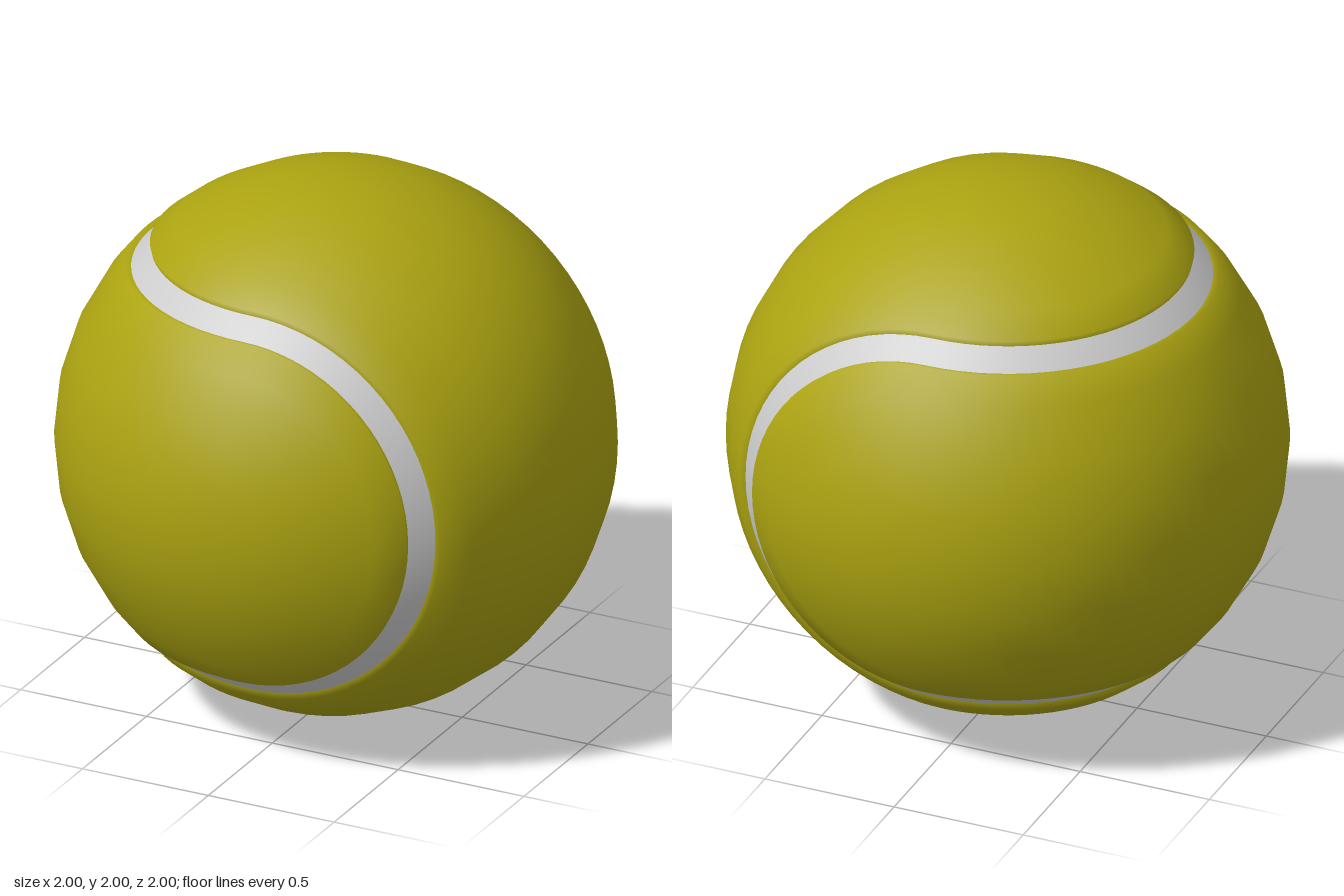
import * as THREE from 'three';
import { mergeGeometries } from 'three/addons/utils/BufferGeometryUtils.js';

const TURN = 36; // segments per half turn
const felt = new THREE.MeshStandardMaterial({ color: 0xaba311 });
const rubber = new THREE.MeshStandardMaterial({ color: 0xcccccc });

// Profile point from latitude (degrees) and radius
const at = (lat, r = 1) => {
  const a = THREE.MathUtils.degToRad(lat);
  return new THREE.Vector2(Math.max(0, r * Math.cos(a)), r * Math.sin(a));
};

// Half turn of a profile on the +x (side 1) or -x (side -1) half
const halfLathe = (points, side) =>
  new THREE.LatheGeometry(points, TURN, side > 0 ? 0 : Math.PI, Math.PI);

// Steps from a panel's middle line to its rolled-down lip: [angle, radius]
const steps = [[11.5, 1], [23, 1], [34.5, 1], [41.4, 0.999], [42.5, 0.965]];

// Half dome closing one end of a panel, facing +z (dir 1) or -z (dir -1)
function domeEnd(dir) {
  const profile = [...steps].reverse().map(([a, r]) => at(90 - a, r));
  const geo = halfLathe([...profile, at(90)], 1);
  // Even shading at the pole
  const pos = geo.attributes.position;
  for (let i = 0; i < pos.count; i++) {
    if (Math.hypot(pos.getX(i), pos.getZ(i)) < 1e-5) geo.attributes.normal.setXYZ(i, 0, 1, 0);
  }
  return geo.rotateX(dir * Math.PI / 2);
}

// Dumbbell-shaped panel: a half band around -x with a half dome at each end
function panelGeometry() {
  const upper = steps.map(([a, r]) => at(a, r));
  const lower = [...steps].reverse().map(([a, r]) => at(-a, r));
  return mergeGeometries([halfLathe([...lower, at(0), ...upper], -1), domeEnd(1), domeEnd(-1)]);
}

// Two half rings of seam running along the edges of the band
function seamGeometry() {
  const lats = [41.4, 42.5, 45, 47.5, 48.6];
  const upper = lats.map((a) => at(a, 0.979));
  const lower = [...lats].reverse().map((a) => at(-a, 0.979));
  return mergeGeometries([halfLathe(upper, -1), halfLathe(lower, -1)]);
}

export function createModel() {
  const ball = new THREE.Group();
  ball.name = 'ball';
  const panel = panelGeometry();
  const seam = seamGeometry();

  // The second half is the first turned half way round the y = z diagonal
  const diagonal = new THREE.Vector3(0, 1, 1).normalize();
  ['first', 'second'].forEach((label, i) => {
    const half = new THREE.Group();
    half.name = `${label}Half`;
    const feltPanel = new THREE.Mesh(panel, felt);
    feltPanel.name = `${label}FeltPanel`;
    const seamArcs = new THREE.Mesh(seam, rubber);
    seamArcs.name = `${label}SeamArcs`;
    half.add(feltPanel, seamArcs);
    half.quaternion.setFromAxisAngle(diagonal, i * Math.PI);
    half.position.y = 1;
    ball.add(half);
  });
  return ball;
}
